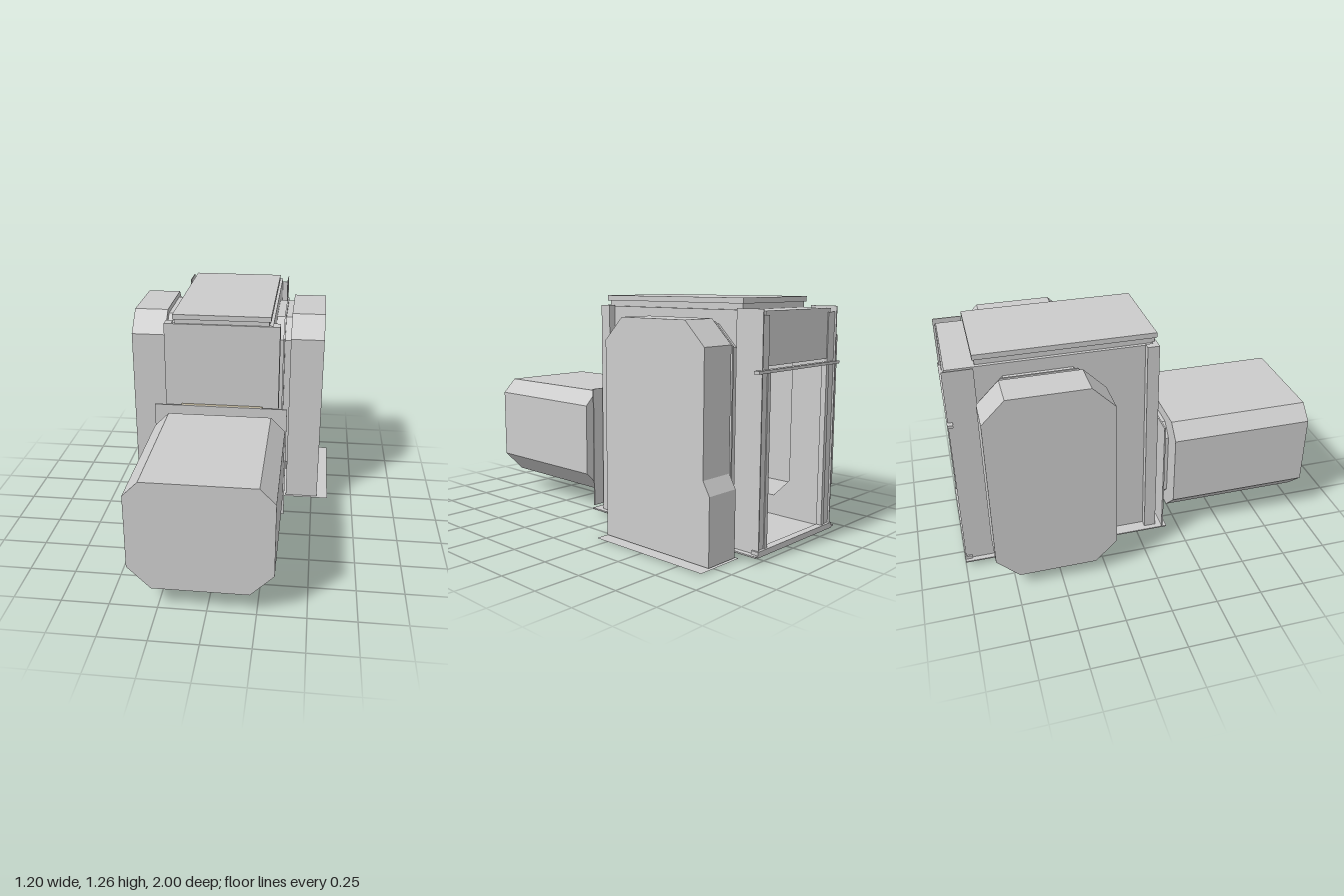
import * as THREE from 'three';

const grey = new THREE.MeshStandardMaterial({ color: 0xcccccc, flatShading: true });
const thin = new THREE.MeshStandardMaterial({ color: 0xcccccc, flatShading: true, side: THREE.DoubleSide });
const beige = new THREE.MeshStandardMaterial({ color: 0xb5ab92, flatShading: true });
const CX = -0.03; // centre line of the main cabin
const SZ = -0.52; // centre of the side pods along z

// Chamfered rectangle outline, bottom and top chamfers may differ
function oct(x0, x1, y0, y1, cb, ct = cb) {
  return [[x1, y0 + cb], [x1, y1 - ct], [x1 - ct, y1], [x0 + ct, y1],
    [x0, y1 - ct], [x0, y0 + cb], [x0 + cb, y0], [x1 - cb, y0]];
}
const rect = (x0, x1, y0, y1) => [[x0, y0], [x1, y0], [x1, y1], [x0, y1]];
const toPoints = (pts) => pts.map(([x, y]) => new THREE.Vector2(x, y));

// Plate or tube: outline with an optional hole, extruded from z0 to z1
function slab(name, outer, hole, z0, z1, mat = grey) {
  const shape = new THREE.Shape(toPoints(outer));
  if (hole) shape.holes.push(new THREE.Path(toPoints(hole)));
  const geo = new THREE.ExtrudeGeometry(shape, { depth: z1 - z0, bevelEnabled: false });
  geo.translate(0, 0, z0);
  const mesh = new THREE.Mesh(geo, mat);
  mesh.name = name;
  return mesh;
}

function box(name, x0, x1, y0, y1, z0, z1) {
  const mesh = new THREE.Mesh(new THREE.BoxGeometry(x1 - x0, y1 - y0, z1 - z0), grey);
  mesh.position.set((x0 + x1) / 2, (y0 + y1) / 2, (z0 + z1) / 2);
  mesh.name = name;
  return mesh;
}

// Hollow pod: shell that opens into the cabin, closed by an end cap
function pod(name, outer, hole, z0, z1) {
  const g = new THREE.Group();
  g.name = name;
  g.add(slab(name + 'Shell', outer, hole, z0, z1 - 0.02));
  g.add(slab(name + 'Cap', outer, null, z1 - 0.02, z1));
  return g;
}

export function createModel() {
  const model = new THREE.Group();

  // Cabin: roof, floor, front wall and the panel above the rear opening
  const cabin = new THREE.Group();
  cabin.name = 'cabin';
  const frontHole = oct(-0.24, 0.18, 0.2, 0.62, 0.06);
  cabin.add(
    box('roof', -0.31, 0.25, 1.18, 1.21, -0.98, 0.1),
    box('roofSeam', -0.29, 0.23, 1.21, 1.24, -0.83, 0.1),
    box('roofPlate', -0.3, 0.24, 1.24, 1.268, -0.84, 0.11),
    box('floor', -0.31, 0.25, 0.025, 0.05, -0.97, 0.08),
    slab('frontWall', rect(-0.35, 0.29, 0.03, 1.215), frontHole, 0.085, 0.11),
    box('rearPanel', -0.31, 0.25, 0.95, 1.18, -0.98, -0.95)
  );
  model.add(cabin);

  // Rear opening: crossbar, sill, door posts and tall side fins
  const rear = new THREE.Group();
  rear.name = 'rearFrame';
  rear.add(
    box('rearCrossbar', -0.38, 0.32, 0.92, 0.935, -1, -0.97),
    box('rearSill', -0.36, 0.3, 0.03, 0.06, -1, -0.96)
  );
  for (const s of [-1, 1]) {
    const post = CX + s * 0.255, fin = CX + s * 0.317;
    rear.add(
      box('doorPost', post - 0.012, post + 0.012, 0.05, 0.93, -0.99, -0.96),
      box('sideFin', fin - 0.003, fin + 0.003, 0.03, 1.22, -0.995, -0.84),
      box('finReturn', Math.min(post, fin), Math.max(post, fin), 0.03, 1.19, -0.985, -0.975)
    );
  }
  model.add(rear);

  // Base: flat flange and a shallow foot frame below it
  const base = new THREE.Group();
  base.name = 'base';
  const flange = slab('baseFlange', rect(-0.38, 0.32, -0.17, 1), rect(-0.3, 0.24, -0.06, 0.95), 0.035, 0.042);
  const foot = slab('footFrame', rect(-0.29, 0.23, -0.05, 0.88), rect(-0.24, 0.18, 0, 0.83), 0.005, 0.03);
  for (const m of [flange, foot]) {
    m.rotation.x = -Math.PI / 2;
    base.add(m);
  }
  // Underfloor tiles
  for (let i = 0; i < 2; i++) {
    for (let j = 0; j < 3; j++) {
      const x = -0.22 + i * 0.2, z = -0.8 + j * 0.26;
      base.add(box('floorTile', x, x + 0.18, 0.015 + 0.004 * ((i + j) % 2), 0.03, z, z + 0.25));
    }
  }
  model.add(base);

  // Front pod with neck, gasket and mounting plate
  const front = pod('frontPod', oct(-0.4, 0.335, 0.12, 0.72, 0.12, 0.08), frontHole, 0.2, 1);
  front.add(
    slab('frontNeck', oct(-0.28, 0.22, 0.16, 0.66, 0.07), frontHole, 0.11, 0.2),
    slab('frontPlate', rect(-0.41, 0.34, 0.07, 0.745), frontHole, 0.13, 0.138),
    slab('frontGasket', rect(-0.26, 0.2, 0.045, 0.745), frontHole, 0.11, 0.13, beige)
  );
  model.add(front);

  // Side walls and side pods, built facing +z then turned outward
  const sideHole = oct(-0.25, 0.25, 0.16, 1.1, 0.1);
  const neck = oct(-0.29, 0.29, 0.12, 1.14, 0.11);
  const regular = oct(-0.33, 0.33, 0.08, 1.17, 0.12);
  const deep = [[0.37, 0.015], [0.37, 0.36], [0.33, 0.43], [0.33, 1.05],
    [0.21, 1.17], [-0.21, 1.17], [-0.33, 1.05], [-0.33, 0.015]];
  for (const s of [-1, 1]) {
    const side = new THREE.Group();
    side.name = s > 0 ? 'leftSide' : 'rightSide';
    const a = -s * 0.605, b = s * 0.46; // front and rear ends of the wall
    side.add(
      slab('sideWall', rect(Math.min(a, b), Math.max(a, b), 0.02, 1.18), sideHole, 0.26, 0.28),
      slab('sideNeck', neck, sideHole, 0.28, 0.375),
      slab('sideNeckRim', oct(-0.31, 0.31, 0.1, 1.155, 0.115), sideHole, 0.325, 0.335),
      pod('sidePod', s > 0 ? deep : regular, sideHole, s > 0 ? 0.37 : 0.375, s > 0 ? 0.565 : 0.575)
    );
    side.rotation.y = s * Math.PI / 2;
    side.position.set(CX, 0, SZ);
    model.add(side);
    // Front corner post
    const x = CX + s * 0.3;
    model.add(box('cornerPost', x - 0.02, x + 0.02, 0.02, 1.215, 0.045, 0.108));
  }

  // Thin sheet under the left pod
  const sheet = new THREE.Mesh(new THREE.PlaneGeometry(0.28, 0.72), thin);
  sheet.name = 'podGroundSheet';
  sheet.rotation.x = -Math.PI / 2;
  sheet.position.set(0.46, 0.01, -0.54);
  model.add(sheet);

  return model;
}
